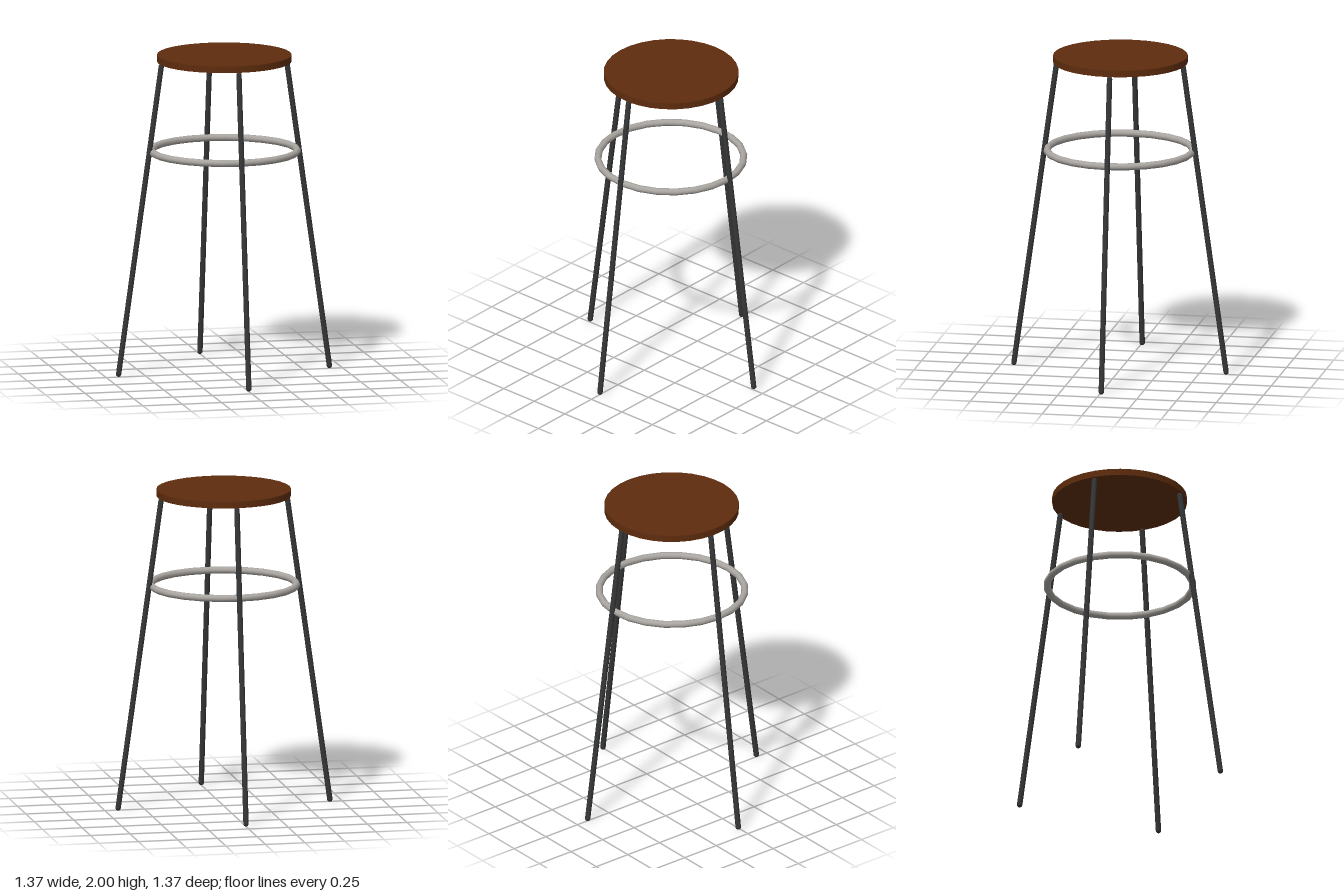
import * as THREE from 'three';

const material = (name, color) => {
  const m = new THREE.MeshStandardMaterial({ color });
  m.name = name;
  return m;
};

export function createModel() {
  const stool = new THREE.Group();
  stool.name = 'barStool';

  const wood = material('brown wood', 0x5e2c0d);
  const iron = material('dark iron', 0x353637);
  const steel = material('brushed steel', 0xaaa6a1);

  const add = (name, geometry, mat) => {
    const mesh = new THREE.Mesh(geometry, mat);
    mesh.name = name;
    stool.add(mesh);
    return mesh;
  };

  // Round seat
  add('seat', new THREE.CylinderGeometry(0.417, 0.417, 0.042, 32), wood).position.set(0, 1.979, -0.003);

  // Foot ring
  const ring = add('footRing', new THREE.TorusGeometry(0.452, 0.022, 10, 24), steel);
  ring.rotation.x = Math.PI / 2;
  ring.position.y = 1.397;

  // Four splayed legs with rounded ends
  const radius = 0.017;
  const up = new THREE.Vector3(0, 1, 0);
  const legs = [
    ['leftLeg', 1, 0], ['rightLeg', -1, 0], ['frontLeg', 0, 1], ['backLeg', 0, -1],
  ];
  for (const [name, dx, dz] of legs) {
    const z = dx ? -0.011 : 0; // side legs sit slightly back
    const foot = new THREE.Vector3(dx * 0.669, radius, dz * 0.668 + z);
    const top = new THREE.Vector3(dx * 0.398, 1.942, dz * 0.398 + z);
    const axis = top.clone().sub(foot);
    const leg = add(name, new THREE.CapsuleGeometry(radius, axis.length(), 5, 12), iron);
    leg.position.copy(foot).add(top).multiplyScalar(0.5);
    leg.quaternion.setFromUnitVectors(up, axis.normalize());
  }

  return stool;
}
